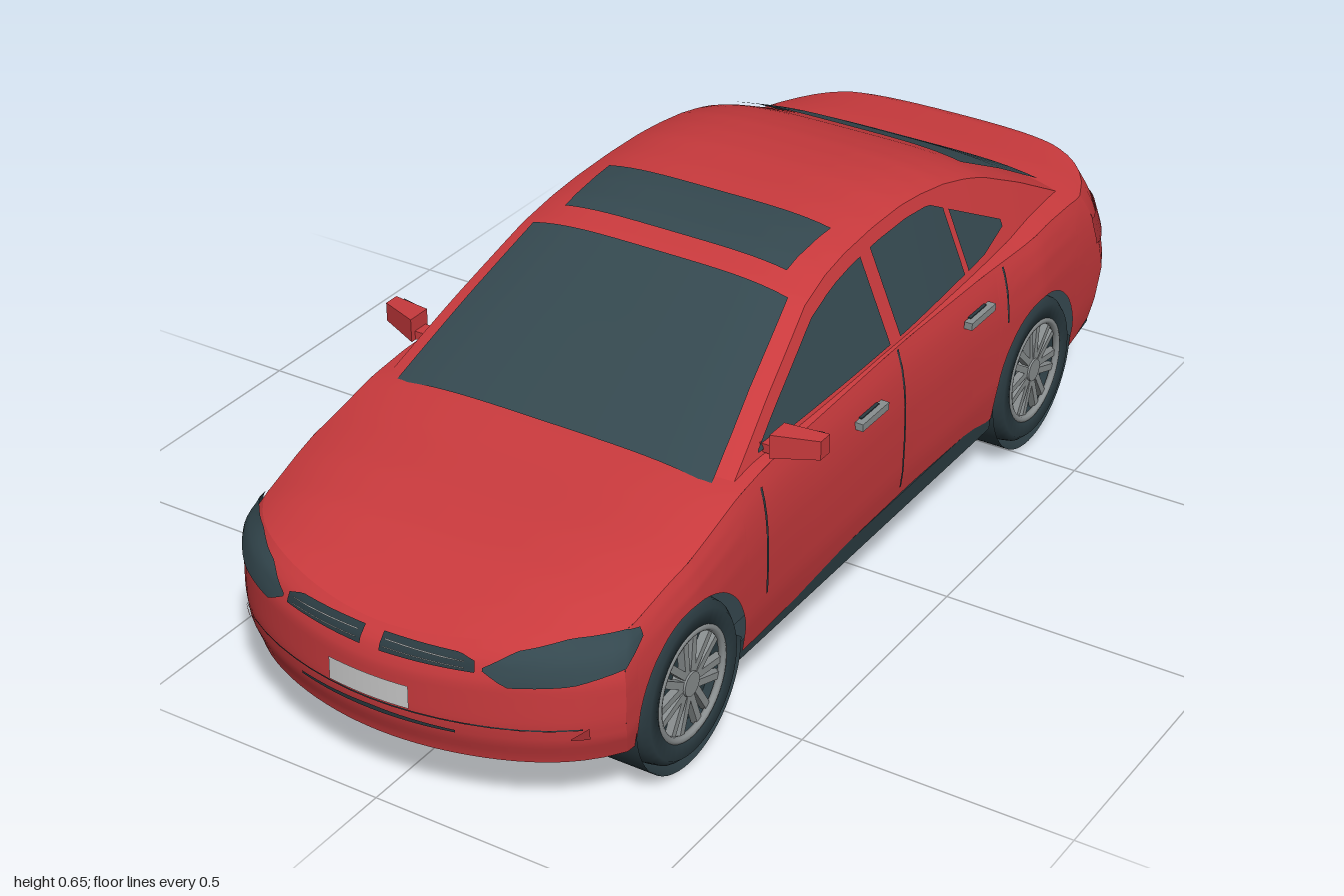
import * as THREE from 'three';

const mat = (name, color) => new THREE.MeshStandardMaterial({ name, color, side: THREE.DoubleSide });
const paint = mat('red paint', 0xc93a3d);
const glass = mat('tinted glass', 0x34484f);
const rubber = mat('dark rubber', 0x2b3b41);
const metal = mat('grey metal', 0x8a8f90);
const plateMat = mat('plate white', 0xcacaca);
const lens = mat('red lens', 0xab3034);

// Piecewise-linear curve through [position, value] pairs in rising order
const curve = (pts) => (p) => {
  if (p <= pts[0][0]) return pts[0][1];
  for (let i = 1; i < pts.length; i++) {
    const [a, va] = pts[i - 1], [b, vb] = pts[i];
    if (p <= b) return va + (vb - va) * (p - a) / (b - a);
  }
  return pts[pts.length - 1][1];
};
const lerp = THREE.MathUtils.lerp;
const range = (a, b, n) => Array.from({ length: n + 1 }, (_, i) => lerp(a, b, i / n));

// Surface over two lists of parameters
function grid(us, vs, fn) {
  const pos = [], idx = [], n = vs.length;
  us.forEach((u) => vs.forEach((v) => pos.push(...fn(u, v))));
  for (let i = 0; i < us.length - 1; i++) for (let j = 0; j < n - 1; j++) {
    const a = i * n + j, b = a + n;
    idx.push(a, b, a + 1, b, b + 1, a + 1);
  }
  const g = new THREE.BufferGeometry();
  g.setAttribute('position', new THREE.Float32BufferAttribute(pos, 3));
  g.setIndex(idx);
  g.computeVertexNormals();
  return g;
}

// Lower body rules
const AXLES = [0.65, -0.55], ARCH = 0.157, HUB = 0.145;
const halfWidth = curve([[-0.83, 0.378], [-0.55, 0.392], [-0.35, 0.382], [-0.1, 0.378], [0.3, 0.383], [0.65, 0.394], [0.84, 0.38]]);
const deck = curve([[-1, 0.4], [-0.93, 0.43], [-0.9, 0.44], [-0.78, 0.449], [-0.7, 0.45], [-0.5, 0.44], [0.4, 0.44], [0.48, 0.432],
  [0.6, 0.413], [0.7, 0.4], [0.8, 0.38], [0.9, 0.346], [0.96, 0.315], [1, 0.29]]);
const crown = curve([[-1, 0.05], [-0.85, 0.04], [-0.6, 0.015], [0, 0.012], [0.5, 0.02], [0.78, 0.045], [1, 0.05]]);
const base = curve([[-0.97, 0.168], [-0.71, 0.116], [0.8, 0.115], [1, 0.11]]);
const flank = curve([[0, 0.972], [0.2, 0.995], [0.45, 1], [0.65, 0.998], [0.82, 0.985], [0.93, 0.965], [1, 0.945]]);
const noseInset = curve([[0, 0.018], [0.2, 0.004], [0.35, 0], [0.72, 0.002], [0.88, 0.013], [1, 0.035]]);
const tailInset = curve([[0, 0.045], [0.2, 0.02], [0.4, 0], [0.6, 0.018], [0.85, 0.05], [1, 0.075]]);
const bow = (t, s) => (s > 0 ? 0.12 * t ** 2 + 0.04 * t ** 8 : 0.06 * t ** 2 + 0.11 * t ** 8);
const bottom = (z) => {
  for (const c of AXLES) {
    const d = Math.abs(z - c);
    if (d <= ARCH + 1e-6) return HUB + Math.sqrt(Math.max(0, ARCH * ARCH - d * d));
  }
  return base(z);
};

// Body point: s along the length, t across, h up from sill to deck
function body(s, t, h) {
  const z0 = s * (1 - bow(t, s)), e = Math.sign(s);
  const w = THREE.MathUtils.clamp(s > 0 ? (s - 0.94) / 0.06 : (-s - 0.88) / 0.12, 0, 1);
  const inset = s > 0 ? noseInset : tailInset;
  const zTop = z0 - e * w * inset(1);
  const top = deck(zTop) - crown(zTop) * t ** 4;
  const y = lerp(bottom(z0), top, h);
  const v = (y - 0.115) / (top - 0.115);
  return [t * halfWidth(z0) * flank(v), y, z0 - e * w * inset(v)];
}
function bodyAtHeight(s, t, y) {
  const y0 = body(s, t, 0)[1], y1 = body(s, t, 1)[1];
  return body(s, t, (y - y0) / (y1 - y0));
}
const sideS = (z) => z / (1 - bow(1, z));

// Thin panel wrapped on the nose (end 1) or tail (end -1); |u| > 1 runs on round the corner
function wrapPanel(end, u0, u1, lo, hi, lift = 0.004) {
  return grid(range(u0, u1, 16), range(0, 1, 5), (u, k) => {
    const a = Math.abs(u), t = THREE.MathUtils.clamp(u, -1, 1);
    const s = end * (1 - Math.max(0, a - 1));
    const p = bodyAtHeight(s, t, lerp(lo(a), hi(a), k));
    return [p[0] + Math.sign(u) * lift * Math.min(1, a ** 4), p[1] + lift * 0.5, p[2] + end * lift];
  });
}

// Cabin rules
const roof = curve([[-0.79, 0.415], [-0.74, 0.448], [-0.6, 0.523], [-0.48, 0.58], [-0.42, 0.6], [-0.35, 0.618], [-0.27, 0.631], [-0.2, 0.638],
  [-0.1, 0.639], [0, 0.634], [0.07, 0.625], [0.15, 0.605], [0.32, 0.522], [0.5, 0.424], [0.53, 0.405]]);
const cabinX = (y, z) => (0.355 - (y - 0.42) * 0.42) * (1 - 0.15 * z * z);
const eave = (z) => roof(z) - 0.025;
const roofPoint = (z, t, lift = 0) => [t * cabinX(eave(z), z), roof(z) - 0.025 * t ** 4 + lift, z + lift * Math.sign(z) * 0.5];

function makeWheel() {
  const g = new THREE.Group();
  const put = (name, geo, m) => { const o = new THREE.Mesh(geo, m); o.name = name; g.add(o); return o; };
  const section = [[0.098, -0.05], [0.13, -0.05], [0.141, -0.038], [0.145, -0.015], [0.145, 0.015], [0.141, 0.038], [0.13, 0.05], [0.1, 0.047], [0.098, 0.02]];
  put('tyre', new THREE.LatheGeometry(section.map((p) => new THREE.Vector2(...p)), 40).rotateZ(-Math.PI / 2), rubber);
  put('wheelBack', new THREE.CylinderGeometry(0.099, 0.099, 0.04, 32).rotateZ(Math.PI / 2), rubber);
  put('rimRing', new THREE.TorusGeometry(0.097, 0.007, 8, 40).rotateY(Math.PI / 2).translate(0.043, 0, 0), metal);
  put('hub', new THREE.CylinderGeometry(0.022, 0.026, 0.025, 20).rotateZ(-Math.PI / 2).translate(0.034, 0, 0), metal);
  for (let i = 0; i < 7; i++) for (const k of [-1, 1]) {
    const spoke = put('spoke', new THREE.BoxGeometry(0.014, 0.084, 0.013).rotateX(k * 0.1).translate(0.036, 0.056, k * 0.011), metal);
    spoke.rotation.x = i * Math.PI * 2 / 7;
  }
  return g;
}

export function createModel() {
  const car = new THREE.Group();
  car.name = 'sedan';
  const add = (name, geo, m, x = 0, y = 0, z = 0) => {
    const o = new THREE.Mesh(geo, m);
    o.name = name;
    o.position.set(x, y, z);
    car.add(o);
    return o;
  };
  const box = (name, m, w, h, d, x, y, z) => add(name, new THREE.BoxGeometry(w, h, d), m, x, y, z);

  // Painted shell: deck, nose, tail and flanks with wheel arches
  const across = range(-1, 1, 32);
  add('hoodAndTrunk', grid(range(-1, 1, 90), across, (s, t) => body(s, t, 1)), paint);
  add('nose', grid(across, range(0, 1, 20), (t, h) => body(1, t, h)), paint);
  add('tail', grid(across, range(0, 1, 20), (t, h) => body(-1, t, h)), paint);
  let stations = range(-0.83, 0.84, 40).filter((z) => AXLES.every((c) => Math.abs(z - c) > ARCH + 0.004));
  for (const c of AXLES) {
    stations.push(c - ARCH - 0.001, c + ARCH + 0.001);
    range(0, Math.PI, 24).forEach((a) => stations.push(c + ARCH * Math.cos(a)));
  }
  stations = stations.sort((a, b) => a - b).map(sideS);

  // Cabin shell, windscreen, rear window and sunroof
  add('roof', grid(range(-0.79, 0.53, 66), across, (z, t) => roofPoint(z, t)), paint);
  const pane = (name, z0, z1, t0, t1) => add(name, grid(range(z0, z1, 14), range(-1, 1, 20),
    (z, k) => roofPoint(z, k * lerp(t0, t1, (z - z0) / (z1 - z0)), 0.005)), glass);
  pane('windscreen', 0.49, 0.155, 0.91, 0.9);
  pane('rearWindow', -0.72, -0.48, 0.88, 0.84);
  pane('sunroof', -0.1 / 3, 0.105, 0.83, 0.8);
  const sillLine = curve([[-0.49, 0.462], [-0.4, 0.445], [-0.1, 0.437], [0.4, 0.435]]);
  const rearCut = curve([[-0.49, 0.475], [-0.25, 0.6]]);
  const windowTop = (z) => Math.max(sillLine(z), Math.min(eave(z) - 0.02, 0.597, rearCut(z)));

  for (const side of [1, -1]) {
    add('flank', grid(stations, range(0, 1, 14), (s, h) => body(s, side, h)), paint);
    add('cabinSide', grid(range(-0.79, 0.53, 66), range(0, 1, 6), (z, k) => {
      const y = lerp(eave(z), Math.min(eave(z), 0.405), k);
      return [side * cabinX(y, z), y, z];
    }), paint);
    for (const [z0, z1] of [[-0.035, 0.39], [-0.32, -0.07], [-0.49, -0.335]])
      add('sideWindow', grid(range(z0, z1, 14), range(0, 1, 4), (z, k) => {
        const y = lerp(sillLine(z), windowTop(z), k);
        return [side * (cabinX(y, z) + 0.004), y, z];
      }), glass);

    // Door seams and handles
    for (const [z, y0, y1] of [[0.43, 0.2, 0.4], [-0.045, 0.15, 0.425], [-0.42, 0.31, 0.42]])
      add('doorSeam', grid([z - 0.003, z + 0.003], range(y0, y1, 8), (zz, y) => {
        const p = bodyAtHeight(sideS(zz), side, y);
        return [p[0] + side * 0.002, p[1], p[2]];
      }), rubber);
    for (const [z, y] of [[0.08, 0.362], [-0.31, 0.374]]) {
      box('doorHandle', metal, 0.016, 0.014, 0.09, side * 0.383, y, z);
      box('handleRecess', rubber, 0.006, 0.024, 0.06, side * 0.377, y - 0.003, z);
    }

    // Door mirror
    const shell = new THREE.BoxGeometry(0.078, 0.044, 0.045, 4, 3, 3);
    const p = shell.attributes.position;
    for (let i = 0; i < p.count; i++) {
      const k = p.getX(i) * side / 0.039;
      p.setY(i, p.getY(i) * (0.9 - 0.1 * k));
      p.setZ(i, p.getZ(i) * (0.85 - 0.2 * k) - 0.012 * k);
    }
    shell.computeVertexNormals();
    add('mirrorShell', shell, paint, side * 0.401, 0.45, 0.35);
    box('mirrorArm', paint, 0.05, 0.016, 0.03, side * 0.36, 0.437, 0.36);
    box('mirrorGlass', glass, 0.055, 0.028, 0.004, side * 0.4, 0.45, 0.325).rotation.y = side * 0.2;

    // Headlight, grille, tail light, exhaust tip
    add('headlight', wrapPanel(1, side * 0.52, side * 1.07, curve([[0.52, 0.285], [0.62, 0.263], [0.85, 0.268], [1, 0.283], [1.07, 0.315]]),
      curve([[0.52, 0.29], [0.65, 0.318], [0.85, 0.335], [1, 0.336], [1.07, 0.33]])), glass);
    add('grille', wrapPanel(1, side * 0.05, side * 0.49, (a) => 0.277 + a * 0.008, curve([[0, 0.304], [0.42, 0.306], [0.49, 0.299]])), rubber);
    for (const y of [0.285, 0.295])
      add('grilleBar', wrapPanel(1, side * 0.07, side * 0.45, () => y, () => y + 0.002, 0.007), metal);
    add('fogLampRecess', wrapPanel(1, side * 0.84, side * 0.9, (a) => 0.165, (a) => 0.165 + (a - 0.83) * 0.32, 0.003), lens);
    add('tailLight', wrapPanel(-1, side * 0.62, side * 1.03, curve([[0.62, 0.335], [0.8, 0.3], [1.03, 0.305]]),
      curve([[0.62, 0.34], [0.8, 0.358], [1.03, 0.365]]), 0.003), lens);
    box('exhaustTip', metal, 0.06, 0.02, 0.06, side * 0.24, 0.172, -0.925);

    // Wheels, wells and sills
    for (const c of AXLES) {
      const wheel = makeWheel();
      wheel.name = c > 0 ? 'frontWheel' : 'rearWheel';
      wheel.position.set(side * 0.335, HUB, c);
      wheel.rotation.y = side > 0 ? 0 : Math.PI;
      car.add(wheel);
      add('wheelWell', new THREE.CylinderGeometry(ARCH, ARCH, 0.11, 28, 1, true, Math.PI, Math.PI).rotateZ(Math.PI / 2)
        .scale(1, 1, 1), rubber, side * 0.322, HUB, c).geometry.computeBoundingBox();
      add('wellWall', new THREE.CircleGeometry(ARCH, 28).rotateY(Math.PI / 2), rubber, side * 0.268, HUB, c);
    }
    box('sill', rubber, 0.035, 0.035, 0.88, side * 0.355, 0.113, 0.05);
    box('floorRail', rubber, 0.045, 0.02, 0.8, side * 0.25, 0.1, 0.05);
  }

  // Number plates and lower intake
  add('frontPlate', wrapPanel(1, -0.205, 0.205, () => 0.191, () => 0.233, 0.007), plateMat);
  add('rearPlate', wrapPanel(-1, -0.205, 0.205, () => 0.31, () => 0.352, 0.007), plateMat);
  add('lowerIntake', wrapPanel(1, -0.4, 0.4, () => 0.163, (a) => 0.173 - a * 0.012, 0.003), rubber);
  add('bumperCrease', wrapPanel(1, -0.88, 0.88, () => 0.184, () => 0.187, 0.002), rubber);

  // Underside
  const floor = (name, s0, s1, t) => add(name, grid(range(s0, s1, 30), range(-t, t, 8), (s, k) => {
    const q = body(s, k, 0);
    return [q[0], base(q[2]) + 0.001, q[2]];
  }), rubber);
  floor('floorPan', -1, 1, 0.68);
  floor('frontUndertray', 0.962, 1, 1);
  floor('rearUndertray', -1, -0.855, 1);
  box('cabinFloor', rubber, 0.71, 0.015, 0.88, 0, 0.119, 0.05);
  box('centreTunnel', rubber, 0.15, 0.022, 1.0, 0, 0.107, 0.1);
  box('muffler', rubber, 0.36, 0.03, 0.09, 0, 0.13, -0.78);
  add('spareWheelPan', new THREE.CylinderGeometry(0.15, 0.14, 0.025, 28), rubber, 0, 0.118, -0.63);
  for (const c of AXLES) add('axle', new THREE.CylinderGeometry(0.014, 0.014, 0.6, 12).rotateZ(Math.PI / 2), rubber, 0, 0.13, c);
  return car;
}
